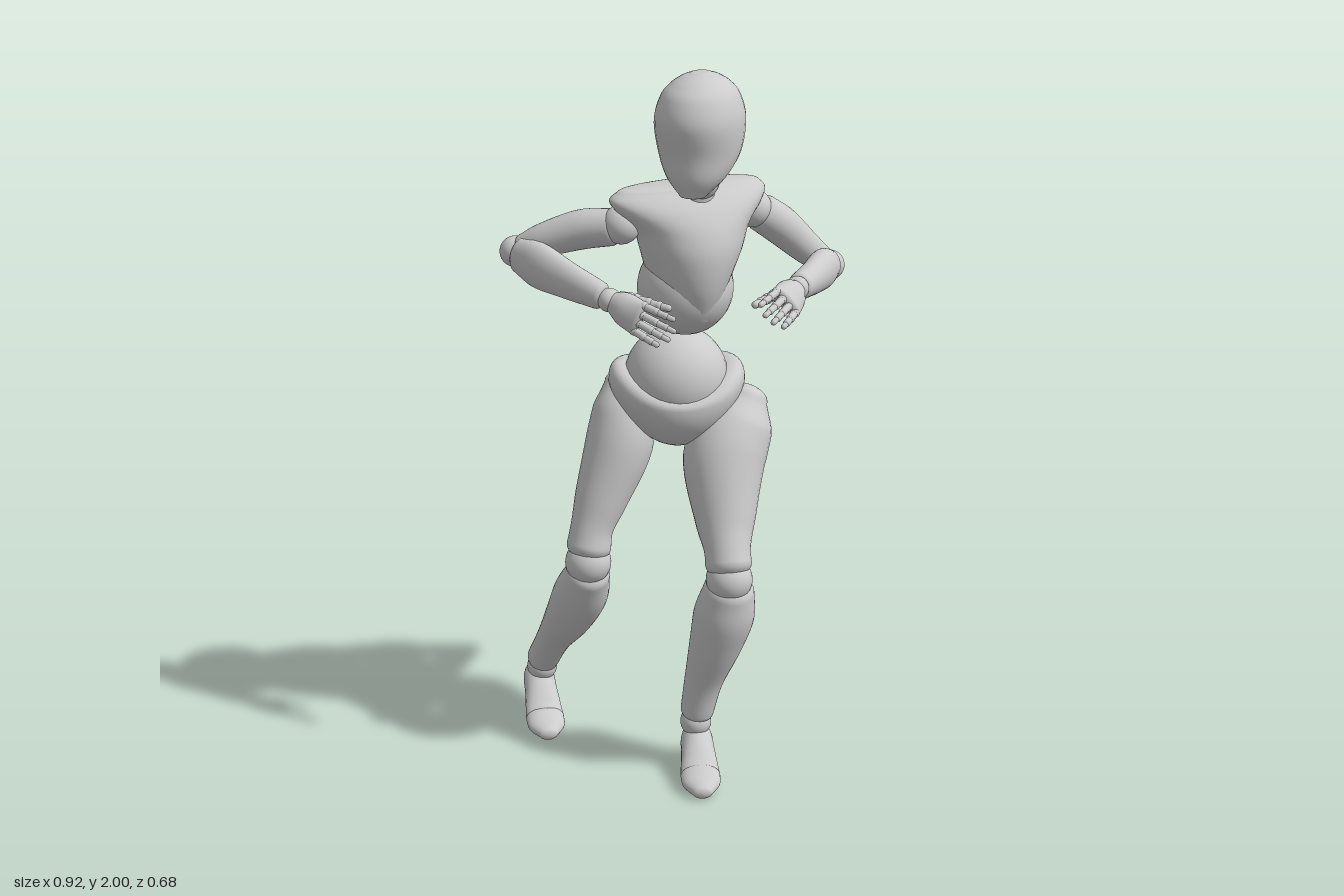
import * as THREE from 'three';

const mat = new THREE.MeshStandardMaterial({ color: 0xcccccc, roughness: 0.8 });
const V = (x, y, z) => new THREE.Vector3(x, y, z);
const UP = V(0, 1, 0);

function add(parent, name, geometry) {
  const mesh = new THREE.Mesh(geometry, mat);
  mesh.name = name;
  parent.add(mesh);
  return mesh;
}

function ball(parent, name, [x, y, z], r) {
  add(parent, name, new THREE.SphereGeometry(r, 32, 24)).position.set(x, y, z);
}

// Smooth closed body through elliptical sections [x, y, z, a, b]: a lies along
// side, b across it. A fixed axis keeps all the sections parallel.
function loft(sections, { side = V(1, 0, 0), axis = null, cap = 0.6, seg = 32, steps = 7 } = {}) {
  const path = new THREE.CatmullRomCurve3(sections.map(s => V(s[0], s[1], s[2])), false, 'catmullrom');
  const size = new THREE.CatmullRomCurve3(sections.map(s => V(s[3], s[4] ?? s[3], 0)), false, 'catmullrom');
  const n = (sections.length - 1) * steps, k = 6, rows = [];
  for (let i = 0; i < k; i++) rows.push([0, i / k, -1]);
  for (let i = 0; i <= n; i++) rows.push([i / n, 1, 0]);
  for (let i = k - 1; i >= 0; i--) rows.push([1, i / k, 1]);
  const pos = [], index = [];
  rows.forEach(([t, e, end], i) => {
    const p = path.getPoint(t), r = size.getPoint(t);
    const dir = axis ? axis.clone() : path.getTangent(t);
    const u = side.clone().addScaledVector(dir, -side.dot(dir)).normalize();
    const v = dir.clone().cross(u);
    const angle = e * Math.PI / 2, s = Math.sin(angle);
    p.addScaledVector(dir, end * Math.cos(angle) * cap * Math.min(r.x, r.y));
    for (let j = 0; j < seg; j++) {
      const f = j / seg * Math.PI * 2;
      const q = p.clone().addScaledVector(u, r.x * s * Math.cos(f)).addScaledVector(v, r.y * s * Math.sin(f));
      pos.push(q.x, q.y, q.z);
      if (i < rows.length - 1) {
        const a = i * seg + j, b = i * seg + (j + 1) % seg;
        index.push(a, b, a + seg, b, b + seg, a + seg);
      }
    }
  });
  const g = new THREE.BufferGeometry();
  g.setAttribute('position', new THREE.Float32BufferAttribute(pos, 3));
  g.setIndex(index);
  g.computeVertexNormals();
  return g;
}

// Rounded finger bone between two points
function bone(parent, name, p, q, r) {
  const mesh = add(parent, name, new THREE.CapsuleGeometry(r, p.distanceTo(q), 4, 10));
  mesh.position.copy(p).lerp(q, 0.5);
  mesh.quaternion.setFromUnitVectors(UP, q.clone().sub(p).normalize());
}

// Hand in a frame of finger direction d, palm normal n and thumb side t
function hand(parent, name, wrist, d, n, curl) {
  const g = new THREE.Group();
  g.name = name;
  parent.add(g);
  d.normalize();
  n.addScaledVector(d, -n.dot(d)).normalize();
  const t = V(0, 1, 0);
  t.addScaledVector(d, -t.dot(d)).addScaledVector(n, -t.dot(n)).normalize();
  const at = (x, y, z) => wrist.clone().addScaledVector(d, x).addScaledVector(t, y).addScaledVector(n, z);
  const sec = (x, y, z, a, b) => [...at(x, y, z).toArray(), a, b];
  add(g, 'palm', loft([sec(0.012, 0, 0, 0.028, 0.025), sec(0.05, 0, 0.002, 0.044, 0.032), sec(0.1, -0.003, 0.002, 0.048, 0.02)], { side: t, seg: 20 }));
  add(g, 'thumbMound', loft([sec(0.018, 0.012, 0.018, 0.02, 0.018), sec(0.045, 0.022, 0.032, 0.018, 0.018)], { side: t, seg: 20 }));
  ball(g, 'wristJoint', wrist.toArray(), 0.032);
  const chain = (label, start, dir, lengths, r, bend) => {
    let p = start, angle = bend;
    lengths.forEach((len, i) => {
      const step = dir.clone().multiplyScalar(Math.cos(angle)).addScaledVector(n, Math.sin(angle));
      const q = p.clone().addScaledVector(step, len);
      bone(g, label + 'Bone', p, q, r * (1 - 0.13 * i));
      ball(g, label + 'Joint', p.toArray(), r * (1.2 - 0.13 * i));
      p = q;
      angle += bend;
    });
  };
  for (let i = 0; i < 4; i++) {
    const s = 1.5 - i, len = [0.95, 1.05, 1, 0.8][i];
    const dir = d.clone().addScaledVector(t, s * 0.04).normalize();
    chain('finger', at(0.11 - Math.abs(s - 0.3) * 0.005, s * 0.024 - 0.003, 0.003), dir, [0.042, 0.03, 0.022].map(l => l * len), 0.0105, curl);
  }
  const thumbDir = d.clone().addScaledVector(t, 0.2).addScaledVector(n, 0.15).normalize();
  chain('thumb', at(0.055, 0.026, 0.038), thumbDir, [0.034, 0.03, 0.026], 0.0135, 0.03);
}

// Foot and toe section; the heel rises by lift
function foot(parent, name, [x, z], dx, dz, lift) {
  const g = new THREE.Group();
  g.name = name;
  parent.add(g);
  const sec = (s, y, a, b) => [x + dx * s, y + lift * Math.max(0, (0.14 - s) / 0.18), z + dz * s, a, b];
  const opt = { side: V(dz, 0, -dx), axis: V(dx, 0, dz), seg: 24 };
  add(g, 'heelAndArch', loft([sec(-0.045, 0.05, 0.034, 0.038), sec(-0.005, 0.074, 0.045, 0.064), sec(0.05, 0.064, 0.048, 0.052), sec(0.115, 0.038, 0.055, 0.034)], opt));
  add(g, 'toes', loft([sec(0.125, 0.036, 0.056, 0.032), sec(0.165, 0.03, 0.052, 0.026), sec(0.202, 0.025, 0.028, 0.018)], opt));
}

export function createModel() {
  const model = new THREE.Group();
  model.name = 'posedMannequin';

  // Head, turned slightly to its left
  add(model, 'head', loft([
    [0.188, 1.693, 0.192, 0.034, 0.032], [0.182, 1.74, 0.165, 0.078, 0.076], [0.172, 1.80, 0.13, 0.107, 0.116],
    [0.167, 1.88, 0.12, 0.117, 0.14], [0.167, 1.94, 0.118, 0.101, 0.121], [0.167, 1.97, 0.116, 0.077, 0.092],
    [0.167, 1.988, 0.115, 0.05, 0.06], [0.167, 1.996, 0.115, 0.028, 0.034],
  ], { side: V(0.97, 0, -0.25), axis: UP, cap: 0.13 }));
  ball(model, 'neckBall', [0.14, 1.706, 0.08], 0.057);
  add(model, 'neckBase', loft([[0.12, 1.64, 0.065, 0.06], [0.135, 1.68, 0.075, 0.046]]));

  // Chest shell over the rib ball, narrow at the flanks so the ball shows
  ball(model, 'ribBall', [0.09, 1.40, 0.06], 0.13);
  add(model, 'chest', loft([
    [0.10, 1.33, 0.065, 0.06, 0.10], [0.10, 1.42, 0.065, 0.1, 0.135], [0.105, 1.51, 0.06, 0.135, 0.143],
    [0.103, 1.575, 0.055, 0.16, 0.132], [0.096, 1.625, 0.052, 0.205, 0.11], [0.09, 1.655, 0.048, 0.222, 0.088],
    [0.09, 1.677, 0.045, 0.2, 0.062],
  ], { side: V(0.59, 0, -0.81), axis: UP, cap: 0.2, seg: 48 }));

  // Abdomen ball hugged by a pelvis whose rim is low in front and high at the hips
  ball(model, 'abdomenBall', [0.05, 1.132, 0.04], 0.142);
  const bowl = new THREE.SphereGeometry(1, 48, 32), p = bowl.attributes.position;
  for (let i = 0; i < p.count; i++) {
    const x = p.getX(i), y = p.getY(i), z = p.getZ(i);
    const taper = y < 0 ? 1 + 0.12 * y : 1;
    const rim = 0.055 + 0.07 * x * x - (z > 0 ? 0.01 : 0.05) * z;
    const lift = 0.04 * x * x;
    p.setXYZ(i, x * 0.188 * taper, (y > 0 ? y ** 0.85 * rim : y * 0.145) + lift, z * (z < 0 ? 0.18 : 0.163));
  }
  bowl.computeVertexNormals();
  const pelvis = add(model, 'pelvis', bowl);
  pelvis.position.set(0.045, 1.08, 0.028);
  pelvis.rotation.y = 0.66;

  // Legs
  const legs = {
    right: {
      thigh: [[-0.095, 1.11, 0.092, 0.045], [-0.083, 1.04, 0.108, 0.08], [-0.078, 0.94, 0.132, 0.094], [-0.097, 0.8, 0.195, 0.075], [-0.106, 0.72, 0.232, 0.06], [-0.108, 0.665, 0.248, 0.062]],
      knee: [-0.108, 0.62, 0.252],
      shin: [[-0.11, 0.585, 0.25, 0.062], [-0.158, 0.5, 0.215, 0.077], [-0.222, 0.4, 0.178, 0.069], [-0.31, 0.285, 0.126, 0.051], [-0.377, 0.185, 0.088, 0.047]],
      ankle: [-0.383, 0.155, 0.086], foot: [[-0.4, 0.08], 0.66, 0.75, 0.038],
    },
    left: {
      thigh: [[0.21, 1.065, -0.072, 0.06], [0.2, 1.0, -0.036, 0.102], [0.192, 0.91, 0.02, 0.114], [0.235, 0.77, 0.09, 0.085], [0.265, 0.7, 0.13, 0.065], [0.278, 0.66, 0.145, 0.064]],
      knee: [0.282, 0.617, 0.148],
      shin: [[0.277, 0.58, 0.14, 0.071], [0.258, 0.5, 0.132, 0.084], [0.23, 0.4, 0.13, 0.073], [0.192, 0.28, 0.125, 0.055], [0.17, 0.175, 0.125, 0.047]],
      ankle: [0.167, 0.14, 0.127], foot: [[0.17, 0.127], 0.57, 0.82, 0],
    },
  };
  for (const [s, leg] of Object.entries(legs)) {
    add(model, s + 'Thigh', loft(leg.thigh));
    ball(model, s + 'Knee', leg.knee, 0.064);
    add(model, s + 'Shin', loft(leg.shin));
    ball(model, s + 'Ankle', leg.ankle, 0.044);
    foot(model, s + 'Foot', ...leg.foot);
  }

  // Arms; forearms are taller than they are thick
  const arms = {
    right: {
      shoulder: [-0.03, 1.585, 0.19],
      upper: [[-0.06, 1.575, 0.195, 0.05], [-0.14, 1.562, 0.215, 0.053], [-0.23, 1.53, 0.25, 0.046], [-0.285, 1.505, 0.268, 0.037]],
      elbow: [-0.315, 1.49, 0.27],
      fore: [[-0.285, 1.487, 0.285, 0.052, 0.037], [-0.22, 1.472, 0.298, 0.064, 0.038], [-0.13, 1.446, 0.3, 0.052, 0.034], [-0.03, 1.42, 0.3, 0.038, 0.033]],
    },
    left: {
      shoulder: [0.2, 1.592, -0.11],
      upper: [[0.213, 1.573, -0.14, 0.052], [0.245, 1.53, -0.19, 0.053], [0.29, 1.465, -0.245, 0.045], [0.325, 1.42, -0.285, 0.037]],
      elbow: [0.34, 1.405, -0.3],
      fore: [[0.348, 1.412, -0.27, 0.046, 0.038], [0.367, 1.422, -0.2, 0.056, 0.042], [0.384, 1.425, -0.11, 0.047, 0.038], [0.394, 1.427, -0.02, 0.037, 0.034]],
    },
  };
  for (const [s, arm] of Object.entries(arms)) {
    ball(model, s + 'Shoulder', arm.shoulder, 0.052);
    add(model, s + 'UpperArm', loft(arm.upper, { side: V(0.4, 0, -0.9) }));
    ball(model, s + 'Elbow', arm.elbow, 0.042);
    add(model, s + 'Forearm', loft(arm.fore, { side: UP }));
  }
  hand(model, 'rightHand', V(0.0, 1.412, 0.3), V(1, -0.28, 0.14), V(0, -0.2, -1), 0.06);
  hand(model, 'leftHand', V(0.4, 1.43, 0.01), V(0.2, -0.04, 1), V(-0.75, -0.65, 0), 0.11);
  return model;
}
